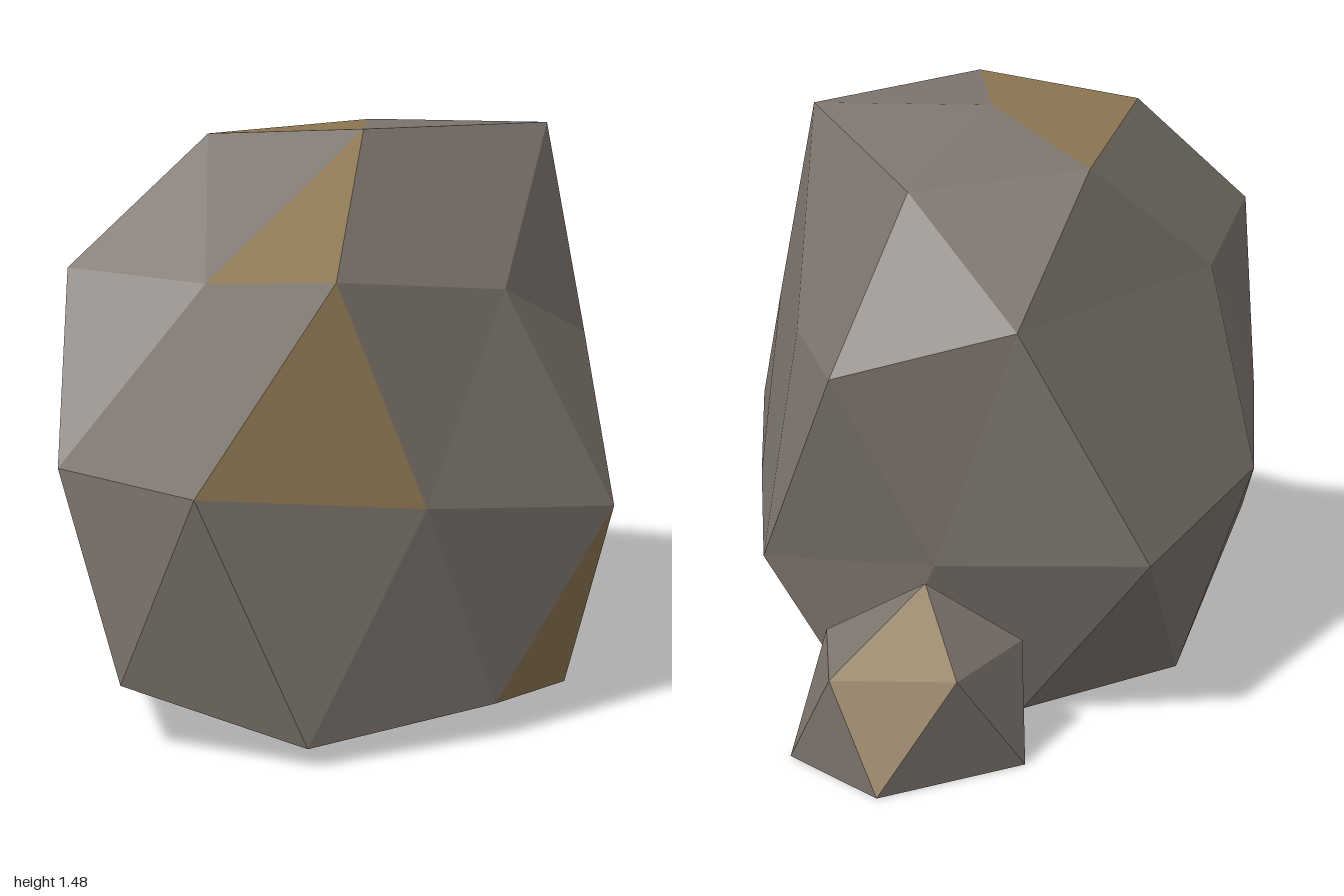
import * as THREE from 'three';
import { ConvexGeometry } from 'three/addons/geometries/ConvexGeometry.js';

// Corners of the boulder, grouped by height
const boulderCorners = {
  // crown
  D: [-0.42, 1.44, -0.08], E: [-0.28, 1.48, 0.41], F: [0.36, 1.46, 0.35],
  L: [0.04, 1.46, 0], K: [0.04, 1.34, -0.37], G: [0.45, 1.30, -0.14],
  // shoulders
  C: [-0.82, 1.12, -0.12], N: [-0.65, 1.11, 0.26], M: [-0.57, 1.16, 0.70],
  Q: [-0.03, 1.09, 0.66], R: [0.38, 0.92, 0.49], S: [0.60, 0.92, 0.13],
  H: [0.82, 0.91, -0.28], J: [0.50, 1.03, -0.60], i: [-0.40, 1.03, -0.385],
  // waist
  A: [-1.0, 0.67, 0.13], B: [-0.93, 0.68, 0.64], O: [-0.40, 0.62, 0.83],
  P: [0.20, 0.54, 0.82], T: [0.54, 0.47, 0.38], I: [0.85, 0.41, -0.04],
  p: [0.62, 0.43, -0.43], f: [0.27, 0.45, -0.83], g: [-0.33, 0.53, -0.62],
  h: [-0.70, 0.61, -0.28], n: [-0.53, 0.33, -0.40],
  // foot
  a: [-0.97, 0.17, 0.36], V: [-0.67, 0.05, 0.72], U: [-0.17, 0.09, 0.81],
  X: [0.51, 0.07, 0.20], m: [-0.75, 0.14, -0.08],
  // ground
  W: [0.27, 0, 0.56], c: [0.27, 0, 0.16], Y: [0.68, 0, -0.23], j: [0.37, 0, -0.48],
  k: [-0.13, 0, -0.54], l: [-0.45, 0, -0.23], Z: [-0.60, 0, 0.40], d: [-0.15, 0, 0.50],
};

// Corners of the small stone: apex, upper ring, ground ring
const stoneCorners = {
  A: [0.70, 0.42, -0.49],
  B: [1.0, 0.25, -0.49], C: [0.81, 0.26, -0.24], D: [0.52, 0.26, -0.33],
  E: [0.50, 0.26, -0.62], F: [0.80, 0.26, -0.72],
  G: [0.99, 0, -0.32], H: [0.65, 0, -0.24], I: [0.42, 0, -0.48],
  J: [0.60, 0, -0.74], K: [0.99, 0, -0.65],
};

// Joins corners into a faceted skin: triangulated on a sphere around the centre,
// then moved back to the true corners. Facets whose corners all lie in one of the
// patches get the second material.
function makeRock(name, corners, centre, patches, materials) {
  const keys = Object.keys(corners);
  const points = keys.map((k) => new THREE.Vector3(...corners[k]));
  const dirs = points.map((p) => p.clone().sub(centre).normalize());
  const skin = new ConvexGeometry(dirs).getAttribute('position');
  const buckets = [[], []];
  const v = new THREE.Vector3();
  for (let t = 0; t < skin.count; t += 3) {
    const tri = [0, 1, 2].map((o) => {
      v.fromBufferAttribute(skin, t + o);
      let best = 0;
      dirs.forEach((d, n) => {
        if (d.distanceToSquared(v) < dirs[best].distanceToSquared(v)) best = n;
      });
      return best;
    });
    const painted = patches.some((s) => tri.every((n) => s.includes(keys[n])));
    for (const n of tri) buckets[painted ? 1 : 0].push(...points[n].toArray());
  }
  const geometry = new THREE.BufferGeometry();
  geometry.setAttribute('position', new THREE.Float32BufferAttribute(buckets.flat(), 3));
  geometry.addGroup(0, buckets[0].length / 3, 0);
  geometry.addGroup(buckets[0].length / 3, buckets[1].length / 3, 1);
  geometry.computeVertexNormals(); // unshared corners keep the facets flat
  const mesh = new THREE.Mesh(geometry, materials);
  mesh.name = name;
  return mesh;
}

export function createModel() {
  const stoneGrey = new THREE.MeshStandardMaterial({ color: 0x7b736c, flatShading: true });
  stoneGrey.name = 'stone grey';
  const earthTan = new THREE.MeshStandardMaterial({ color: 0x8b7551, flatShading: true });
  earthTan.name = 'earth tan';
  const materials = [stoneGrey, earthTan];

  const group = new THREE.Group();
  group.name = 'rocks';
  group.add(
    makeRock('boulder', boulderCorners, new THREE.Vector3(-0.05, 0.65, 0.03),
      ['DELK', 'ENM', 'BMO', 'UPW', 'ChA'], materials),
    makeRock('smallStone', stoneCorners, new THREE.Vector3(0.75, 0.16, -0.49),
      ['AFB', 'FKB', 'AED', 'JEI'], materials),
  );
  return group;
}
